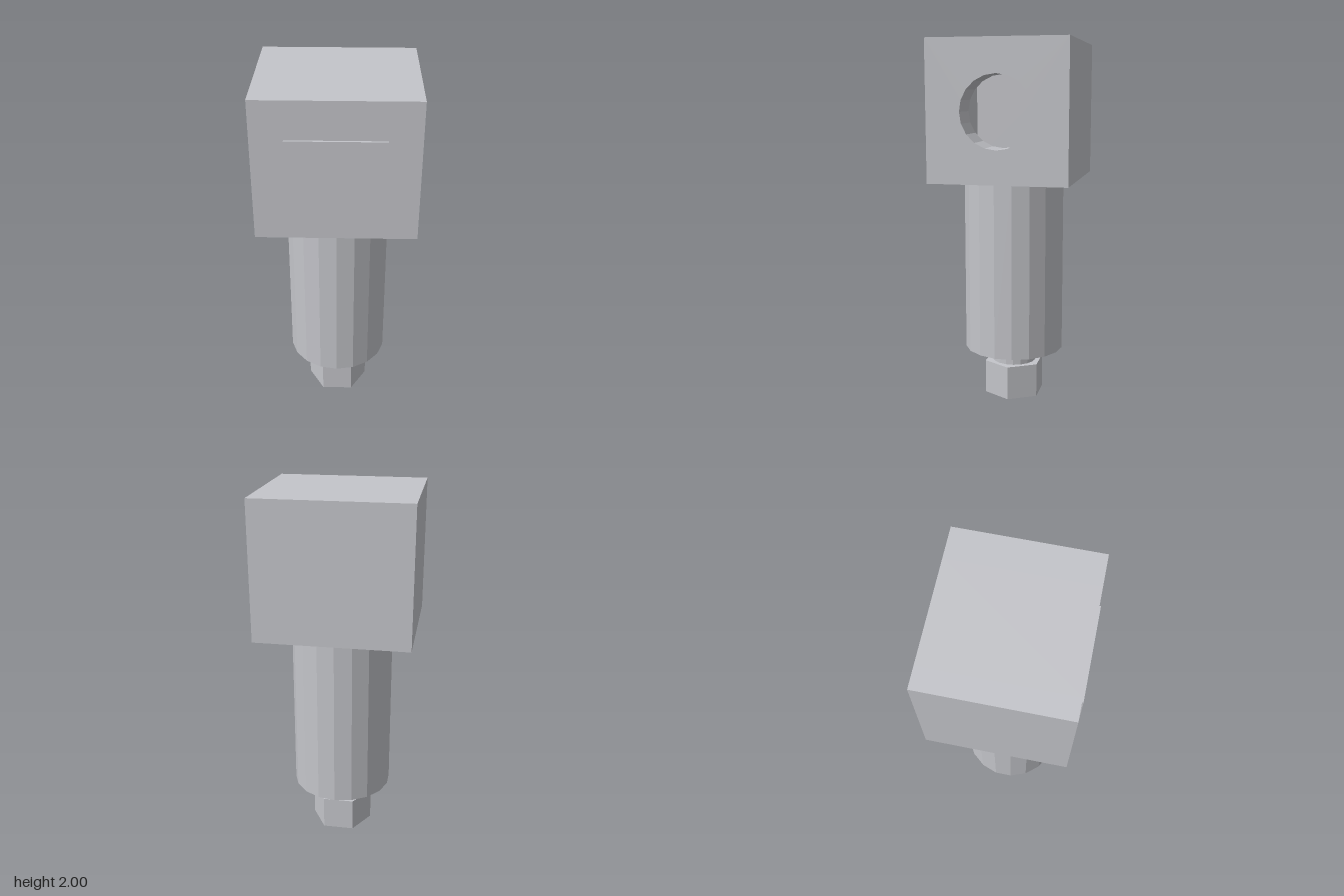
import * as THREE from 'three';

export function createModel() {
  const model = new THREE.Group();
  const metal = new THREE.MeshStandardMaterial({ color: 0xc4c5ca, flatShading: true });
  metal.name = 'light grey metal';
  const zc = -0.0065; // axis of the body

  const add = (name, geometry, x, y, z) => {
    const mesh = new THREE.Mesh(geometry, metal);
    mesh.name = name;
    mesh.position.set(x, y, z);
    model.add(mesh);
    return mesh;
  };

  const rect = (Type, w, h) => new Type([
    new THREE.Vector2(-w, -h), new THREE.Vector2(w, -h),
    new THREE.Vector2(w, h), new THREE.Vector2(-w, h),
  ]);

  // Slab of the head, pushed along x between two positions, with an optional opening
  const slab = (name, x0, x1, opening) => {
    const shape = rect(THREE.Shape, 0.3735, 0.3725);
    if (opening) shape.holes.push(opening);
    const geometry = new THREE.ExtrudeGeometry(shape, { depth: x1 - x0, bevelEnabled: false, curveSegments: 10 });
    geometry.rotateY(Math.PI / 2);
    add(name, geometry, x0, 1.6275, zc);
  };

  // Hollow head: closed wall, chamber and wall with the round port
  const port = new THREE.Path().absarc(0, 0, 0.193, 0, Math.PI * 2, true);
  slab('headClosedWall', -0.415, -0.3, null);
  slab('headChamber', -0.3, 0.245, rect(THREE.Path, 0.3, 0.26));
  slab('headPortWall', 0.245, 0.415, port);

  // Raised plate on the front of the head
  add('frontPlate', new THREE.BoxGeometry(0.5, 0.34, 0.014), 0, 1.63, 0.372);

  // Bowl, neck and hexagonal drain nut
  const round = (name, radius, y0, y1, sides, start) =>
    add(name, new THREE.CylinderGeometry(radius, radius, y1 - y0, sides, 1, false, start), 0, (y0 + y1) / 2, zc);
  round('bowl', 0.28, 0.275, 1.255, 18, 0);
  round('neck', 0.125, 0.19, 0.275, 18, 0);
  round('hexNut', 0.173, 0, 0.19, 6, Math.PI / 2);

  return model;
}
